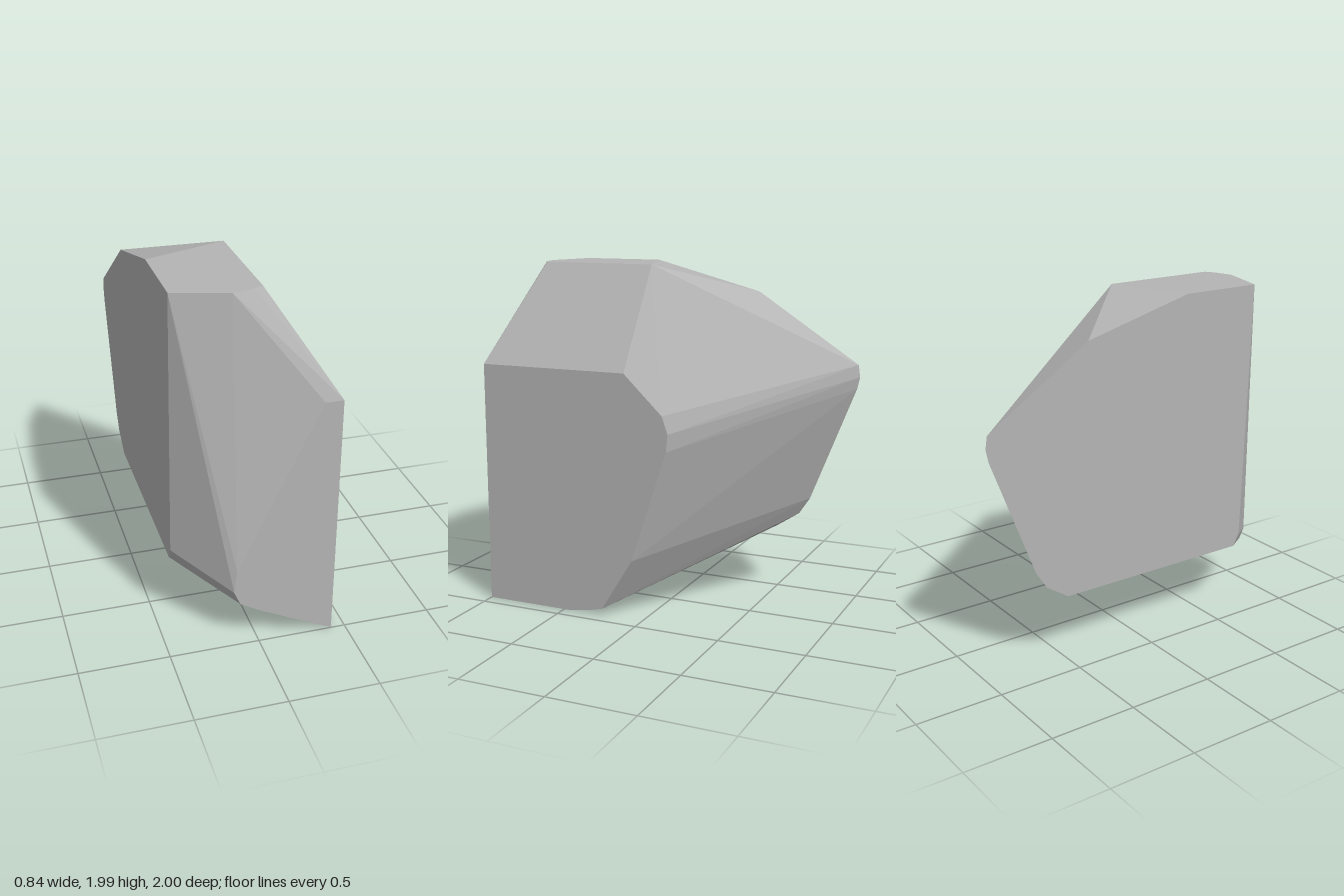
import * as THREE from 'three';
import { ConvexGeometry } from 'three/addons/geometries/ConvexGeometry.js';

export function createModel() {
  const group = new THREE.Group();
  group.name = 'rock';
  const stone = new THREE.MeshStandardMaterial({ color: 0xb4b4b4 });
  stone.name = 'grey stone';

  // Outline of the flat left side, as [y, z]
  const leftSide = [
    [1.42, 1], [1.42, 0.1], [1.2, -0.13], [1.1, -0.165], [1.0, -0.155],
    [0.35, 0.06], [0.04, 0.25], [0.02, 0.33], [0, 0.47], [0, 1],
  ];
  // Outline of the taller right side, as [y, z]
  const rightSide = [
    [1.99, 0.75], [1.99, 0.27], [1.82, -0.38], [1.42, -0.99], [1.35, -1],
    [1.28, -0.985], [0.6, -0.72], [0.5, -0.655], [0.41, -0.52],
    [0.41, 0.67], [0.48, 0.71],
  ];
  // Cut top, as [x, z]
  const top = [[-0.12, 0.84], [0, 0.81], [0.05, 0.78], [0.05, 0.1]];
  // Flat front, as [x, y]
  const front = [[0.32, 1.42], [-0.13, 0.48], [-0.145, 0.35], [-0.11, 0.27], [0, 0.205]];

  const points = [
    ...leftSide.map(([y, z]) => new THREE.Vector3(0.42, y, z)),
    ...rightSide.map(([y, z]) => new THREE.Vector3(-0.42, y, z)),
    ...top.map(([x, z]) => new THREE.Vector3(x, 1.99, z)),
    ...front.map(([x, y]) => new THREE.Vector3(x, y, 1)),
  ];

  // Faceted boulder spanning all the outlines
  const boulder = new THREE.Mesh(new ConvexGeometry(points), stone);
  boulder.name = 'boulder';
  group.add(boulder);
  return group;
}
